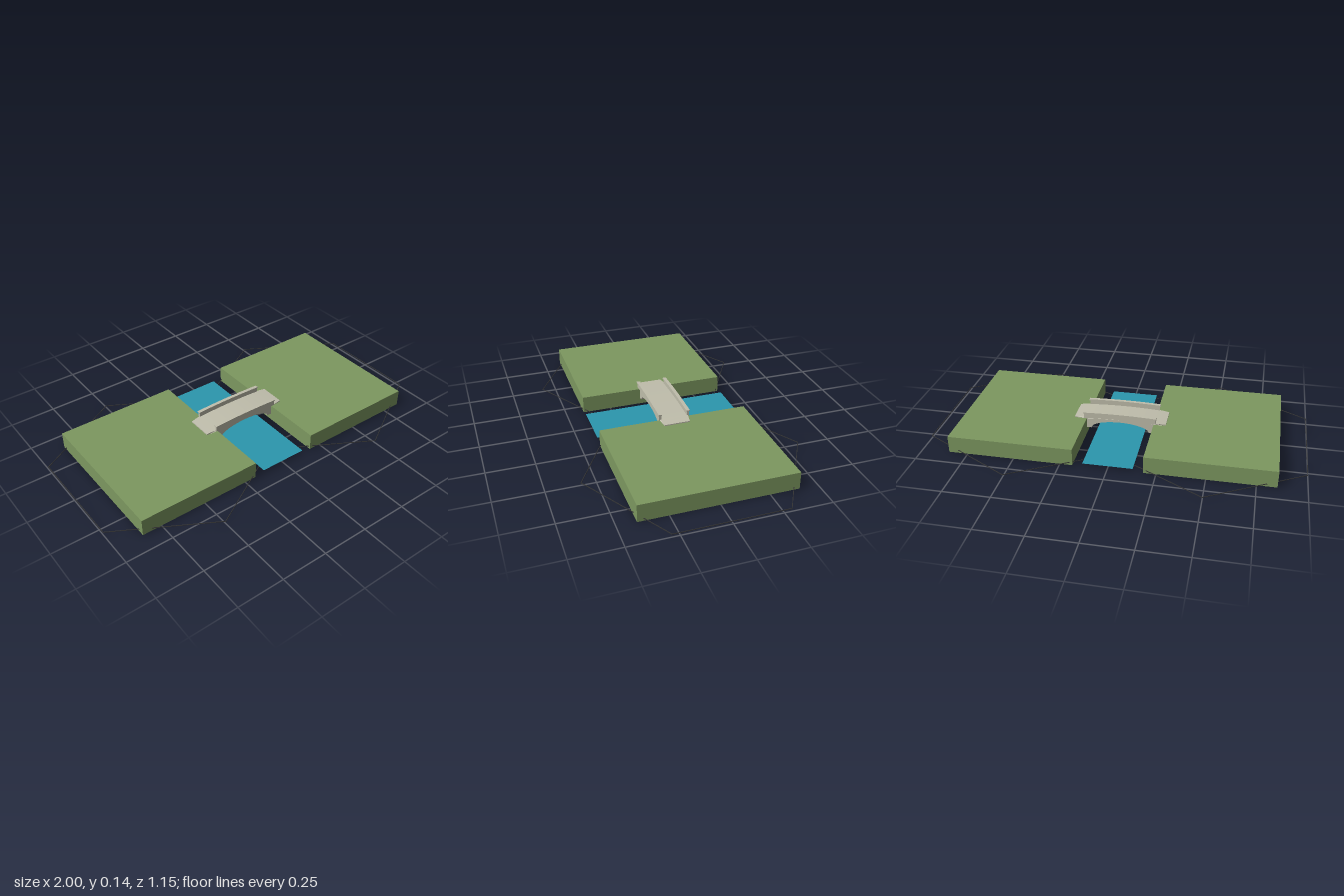
import * as THREE from 'three';

const material = (name, color, side = THREE.FrontSide) => {
  const m = new THREE.MeshStandardMaterial({ color, side });
  m.name = name;
  return m;
};

// Points along y = mid - drop * (x / half)^2, from x0 to x1
function arc(x0, x1, half, mid, drop, n = 16) {
  return Array.from({ length: n + 1 }, (_, i) => {
    const x = x0 + ((x1 - x0) * i) / n;
    return new THREE.Vector2(x, mid - drop * (x / half) ** 2);
  });
}

// Closed outline in x-y, extruded along z and centred on z = 0
function extrude(points, depth) {
  const geometry = new THREE.ExtrudeGeometry(new THREE.Shape(points), { depth, bevelEnabled: false });
  return geometry.translate(0, 0, -depth / 2);
}

// Curved strip of constant thickness
const strip = (half, mid, drop, thick, depth) => extrude(
  [...arc(-half, half, half, mid - thick, drop), ...arc(half, -half, half, mid, drop)], depth);

export function createModel() {
  const green = material('grass green', 0x7d9860);
  const blue = material('water blue', 0x2b97ae, THREE.DoubleSide);
  const stone = material('pale stone', 0xc0beac);
  const dark = material('outline dark', 0x333333);
  const model = new THREE.Group();
  model.name = 'riverCrossing';

  const add = (name, geometry, mat, x = 0, y = 0, z = 0, parent = model) => {
    const mesh = new THREE.Mesh(geometry, mat);
    mesh.name = name;
    mesh.position.set(x, y, z);
    parent.add(mesh);
    return mesh;
  };

  // River banks and hexagonal tile outlines
  const R = 1 / Math.sqrt(3);
  const hexagon = (r) => Array.from({ length: 6 }, (_, i) => {
    const a = Math.PI / 6 + (i * Math.PI) / 3;
    return new THREE.Vector2(r * Math.cos(a), r * Math.sin(a));
  });
  const ring = new THREE.Shape(hexagon(R));
  ring.holes.push(new THREE.Path(hexagon(R - 0.004)));
  for (const [side, s] of [['right', -1], ['left', 1]]) {
    add(side + 'Bank', new THREE.BoxGeometry(0.669, 0.092, 0.806), green, s * 0.5185, 0.046, 0);
    const outline = new THREE.ExtrudeGeometry(ring, { depth: 0.003, bevelEnabled: false });
    add(side + 'TileOutline', outline.rotateX(-Math.PI / 2), dark, s * 0.5, 0.013, 0);
  }

  // Water surface
  add('water', new THREE.PlaneGeometry(0.262, 0.806).rotateX(-Math.PI / 2), blue, 0, 0.017, 0);

  const bridge = new THREE.Group();
  bridge.name = 'bridge';
  model.add(bridge);

  // Arched body: low ends, elliptical opening
  const opening = Array.from({ length: 21 }, (_, i) => {
    const a = Math.PI * (1 - i / 20);
    return new THREE.Vector2(0.158 * Math.cos(a), 0.038 + 0.047 * Math.sin(a));
  });
  const body = [
    new THREE.Vector2(-0.198, 0.038), ...opening, new THREE.Vector2(0.198, 0.038),
    ...arc(0.198, -0.198, 0.25, 0.104, 0.011),
  ];
  add('archBody', extrude(body, 0.148), stone, 0, 0, 0, bridge);

  // Deck, narrowing towards both ends
  const deck = strip(0.25, 0.109, 0.011, 0.008, 0.156);
  const p = deck.attributes.position;
  for (let i = 0; i < p.count; i++) {
    const over = Math.max(0, Math.abs(p.getX(i)) - 0.19);
    p.setZ(i, p.getZ(i) * (1 - over * 1.9));
  }
  deck.computeVertexNormals();
  add('deck', deck, stone, 0, 0, 0, bridge);

  // Parapets with overhanging caps
  for (const [side, s] of [['front', 1], ['back', -1]]) {
    add(side + 'Parapet', strip(0.196, 0.132, 0.006, 0.027, 0.012), stone, 0, 0, s * 0.077, bridge);
    add(side + 'ParapetCap', strip(0.2, 0.138, 0.005, 0.006, 0.019), stone, 0, 0, s * 0.077, bridge);
  }

  return model;
}
